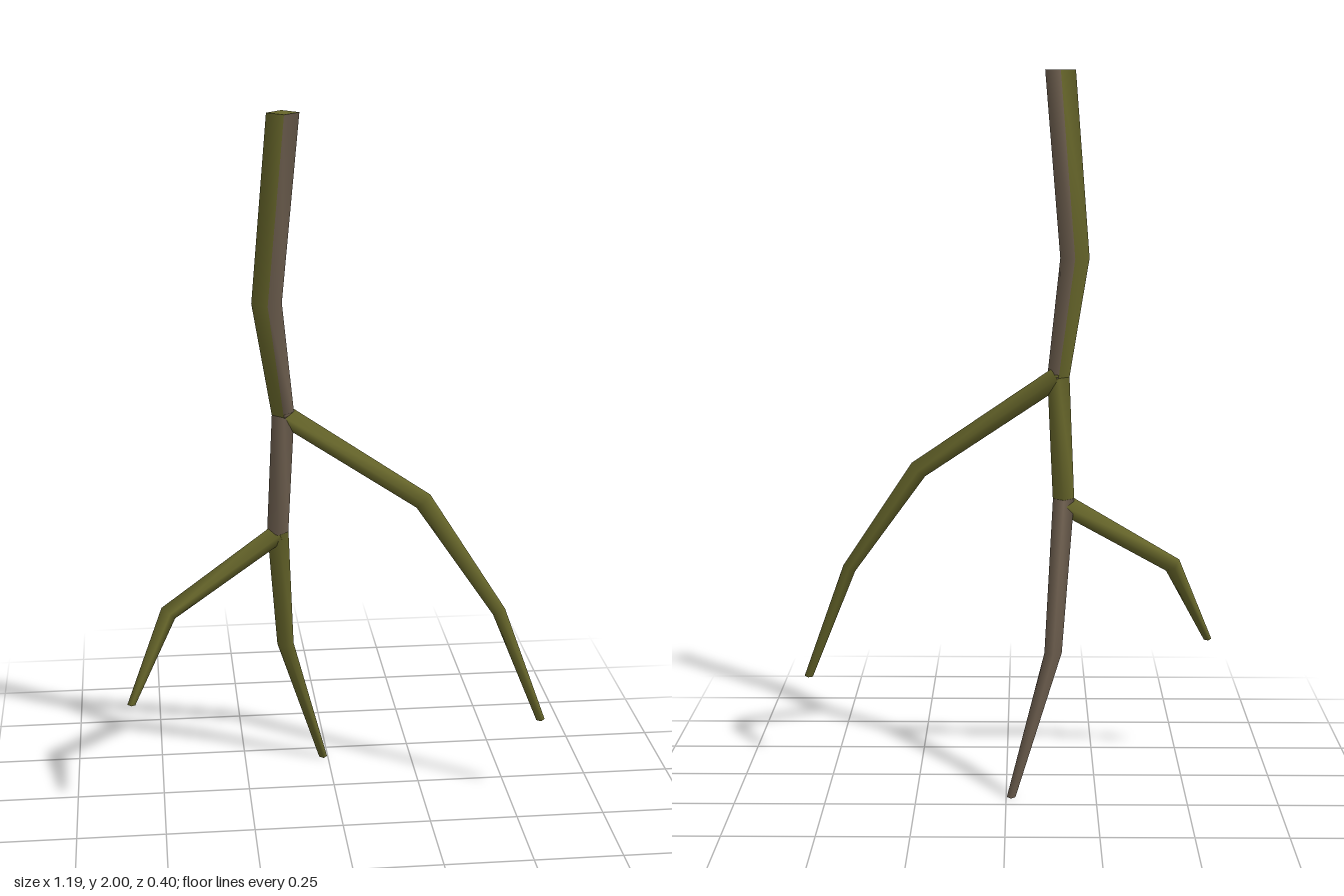
import * as THREE from 'three';

const moss = new THREE.MeshStandardMaterial({ color: 0x68672b });
moss.name = 'mossGreen';
const bark = new THREE.MeshStandardMaterial({ color: 0x6f6050 });
bark.name = 'barkBrown';
const materials = [moss, bark];

// Four-sided tapering limb. Each point is [x, y, z, radius], running downward.
// colours holds one string per segment: g = moss, b = bark, for each of the four sides.
function limb(name, points, colours, side, flatRings) {
  const centres = points.map(p => new THREE.Vector3(p[0], p[1], p[2]));
  const last = points.length - 1;
  const down = new THREE.Vector3(0, -1, 0);
  const positions = [];
  const index = [];
  const geometry = new THREE.BufferGeometry();

  centres.forEach((c, i) => {
    // ring plane bisects the bend, ends of limbs are cut level
    const d = new THREE.Vector3();
    if (i > 0) d.add(c.clone().sub(centres[i - 1]).normalize());
    if (i < last) d.add(centres[i + 1].clone().sub(c).normalize());
    d.normalize();
    if (flatRings || i === last) d.lerp(down, flatRings ? 1 : 0.7).normalize();
    const u = side.clone().addScaledVector(d, -side.dot(d)).normalize();
    const v = d.clone().cross(u);
    for (let k = 0; k < 4; k++) {
      const a = k * Math.PI / 2;
      const p = c.clone()
        .addScaledVector(u, Math.cos(a) * points[i][3])
        .addScaledVector(v, Math.sin(a) * points[i][3]);
      positions.push(p.x, p.y, p.z);
    }
  });

  // side faces, grouped by colour
  for (let i = 0; i < last; i++) {
    for (let k = 0; k < 4; k++) {
      const p = i * 4 + k, q = i * 4 + (k + 1) % 4;
      geometry.addGroup(index.length, 6, colours[i][k] === 'b' ? 1 : 0);
      index.push(p, q, p + 4, q, q + 4, p + 4);
    }
  }

  // end caps use their own corners so that their edges stay sharp
  const top = positions.length / 3;
  positions.push(...positions.slice(0, 12));
  const bottom = top + 4;
  positions.push(...positions.slice(last * 12, last * 12 + 12));
  geometry.addGroup(index.length, 12, 0);
  index.push(top, top + 2, top + 1, top, top + 3, top + 2);
  index.push(bottom, bottom + 1, bottom + 2, bottom, bottom + 2, bottom + 3);

  geometry.setAttribute('position', new THREE.Float32BufferAttribute(positions, 3));
  geometry.setIndex(index);
  geometry.computeVertexNormals();
  const mesh = new THREE.Mesh(geometry, materials);
  mesh.name = name;
  return mesh;
}

export function createModel() {
  const group = new THREE.Group();
  group.name = 'hangingRoot';
  const xAxis = new THREE.Vector3(1, 0, 0);
  const zAxis = new THREE.Vector3(0, 0, 1);

  // main stem, thick at the top
  group.add(limb('upperStem', [
    [-0.149, 2, 0.158, 0.043],
    [-0.19, 1.48, 0.076, 0.041],
    [-0.144, 1.15, 0.025, 0.031],
  ], ['bggb', 'bggb'], xAxis, true));

  group.add(limb('middleStem', [
    [-0.144, 1.16, 0.026, 0.031],
    [-0.16, 0.8, 0, 0.03],
  ], ['bbgg'], xAxis, true));

  group.add(limb('lowerRoot', [
    [-0.16, 0.81, 0, 0.03],
    [-0.13, 0.4, -0.137, 0.024],
    [-0.014, 0, -0.19, 0.012],
  ], ['ggbb', 'ggbb'], xAxis, true));

  // side roots
  group.add(limb('leftRoot', [
    [-0.14, 1.15, 0.022, 0.029],
    [0.25, 0.887, 0.027, 0.027],
    [0.457, 0.58, 0.118, 0.019],
    [0.582, 0.25, 0.142, 0.012],
  ], ['gggg', 'gggg', 'gggg'], zAxis, false));

  group.add(limb('rightRoot', [
    [-0.16, 0.795, 0, 0.029],
    [-0.475, 0.6, 0.082, 0.025],
    [-0.586, 0.36, 0.16, 0.011],
  ], ['gggg', 'gggg'], zAxis, false));

  return group;
}
